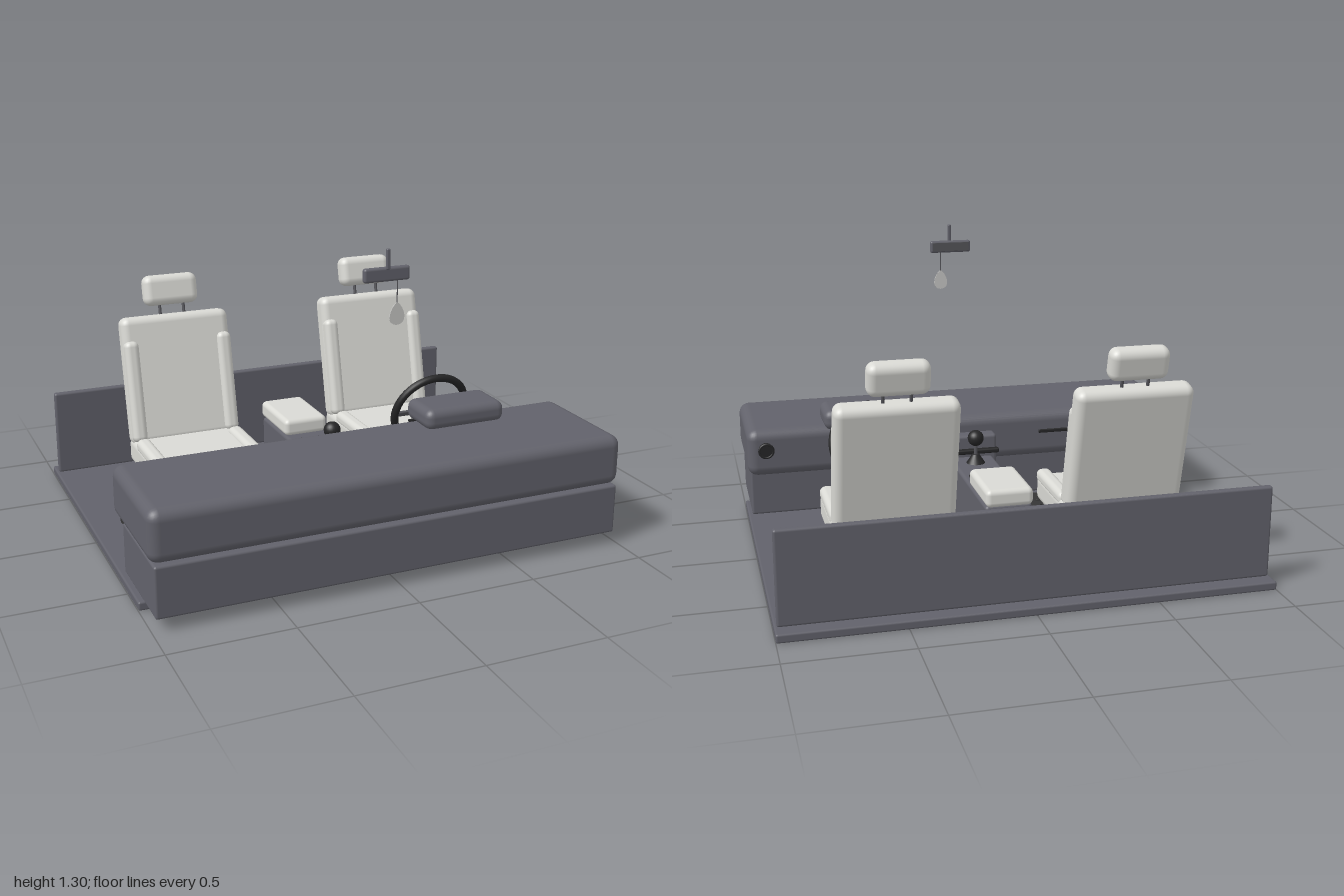
import * as THREE from 'three';
import { RoundedBoxGeometry } from 'three/addons/geometries/RoundedBoxGeometry.js';

const material = (name, color, side = THREE.FrontSide) => {
  const m = new THREE.MeshStandardMaterial({ color, side });
  m.name = name;
  return m;
};

export function createModel() {
  const trim = material('slate trim', 0x62626b);
  const cream = material('pale upholstery', 0xdadad5);
  const black = material('black rubber', 0x262627);
  const matGrey = material('charcoal mat', 0x363636);
  const metal = material('grey metal', 0x55555a);
  const pale = material('pale ornament', 0xc8c8c6, THREE.DoubleSide);

  const root = new THREE.Group();
  root.name = 'carInterior';

  const add = (parent, name, geometry, mat, x = 0, y = 0, z = 0) => {
    const mesh = new THREE.Mesh(geometry, mat);
    mesh.name = name;
    mesh.position.set(x, y, z);
    parent.add(mesh);
    return mesh;
  };
  // Rounded box given by size, centre and edge radius
  const block = (parent, name, mat, [w, h, d], [x, y, z], r = 0.01) =>
    add(parent, name, new RoundedBoxGeometry(w, h, d, 3, r), mat, x, y, z);
  const cylinder = (parent, name, mat, rTop, rBottom, h, [x, y, z], sides = 24) =>
    add(parent, name, new THREE.CylinderGeometry(rTop, rBottom, h, sides), mat, x, y, z);
  const group = (name, x = 0, y = 0, z = 0) => {
    const g = new THREE.Group();
    g.name = name;
    g.position.set(x, y, z);
    root.add(g);
    return g;
  };

  // Floor and rear wall
  block(root, 'floor', trim, [2, 0.036, 1.495], [0, 0.018, -0.0925], 0.008);
  block(root, 'rearWall', trim, [1.98, 0.385, 0.032], [0, 0.228, -0.763], 0.01);

  // Dashboard
  block(root, 'dashboardTop', trim, [2, 0.212, 0.53], [0, 0.366, 0.575], 0.045);
  block(root, 'dashboardBase', trim, [1.97, 0.21, 0.43], [0, 0.155, 0.625], 0.01);
  block(root, 'instrumentHood', trim, [0.365, 0.09, 0.21], [0.478, 0.508, 0.37], 0.035);
  block(root, 'instrumentPanel', black, [0.28, 0.05, 0.008], [0.478, 0.5, 0.265], 0.003);
  block(root, 'gloveBoxHandle', black, [0.27, 0.016, 0.012], [-0.47, 0.38, 0.309], 0.004);
  for (const side of [-1, 1]) {
    const vent = group('sideVent', side * 0.92, 0.388, 0.297);
    vent.rotation.x = Math.PI / 2;
    cylinder(vent, 'ventBody', black, 0.03, 0.03, 0.04, [0, 0, 0]);
    const ring = add(vent, 'ventRing', new THREE.TorusGeometry(0.03, 0.006, 8, 24), black, 0, -0.016, 0);
    ring.rotation.x = Math.PI / 2;
  }

  // Centre stack and console
  block(root, 'centreStack', trim, [0.24, 0.24, 0.1], [0, 0.28, 0.3], 0.015);
  block(root, 'stackBar', black, [0.25, 0.022, 0.03], [0, 0.33, 0.236], 0.008);
  block(root, 'console', trim, [0.2, 0.26, 0.74], [0, 0.17, -0.04], 0.015);
  block(root, 'consoleNose', trim, [0.2, 0.09, 0.12], [0, 0.09, 0.37], 0.01);
  block(root, 'armrest', cream, [0.2, 0.075, 0.31], [0, 0.335, -0.275], 0.022);
  for (const x of [-0.045, 0.042]) {
    cylinder(root, 'cupHolder', matGrey, 0.034, 0.034, 0.008, [x, 0.303, -0.03]);
  }
  const shifter = group('gearShifter', 0, 0.3, 0.165);
  cylinder(shifter, 'boot', black, 0.016, 0.042, 0.04, [0, 0.02, 0]);
  cylinder(shifter, 'lever', metal, 0.009, 0.009, 0.08, [0, 0.07, 0], 12);
  add(shifter, 'knob', new THREE.SphereGeometry(0.036, 24, 16), black, 0, 0.115, 0);

  // Steering wheel and column
  const steering = group('steeringWheel', 0.478, 0.437, 0.14);
  steering.rotation.x = 0.35;
  add(steering, 'rim', new THREE.TorusGeometry(0.168, 0.017, 12, 48), black);
  const hub = cylinder(steering, 'hub', metal, 0.05, 0.055, 0.035, [0, 0, 0.014]);
  hub.rotation.x = Math.PI / 2;
  for (const angle of [0, Math.PI, -Math.PI * 0.38, -Math.PI * 0.62]) {
    const spoke = block(steering, 'spoke', metal, [0.12, 0.024, 0.014],
      [Math.cos(angle) * 0.105, Math.sin(angle) * 0.105, 0.006], 0.005);
    spoke.rotation.z = angle;
  }
  const column = cylinder(steering, 'column', trim, 0.045, 0.036, 0.2, [0, 0, 0.125]);
  column.rotation.x = Math.PI / 2;
  for (const side of [-1, 1]) {
    const stalk = cylinder(steering, 'stalk', black, 0.007, 0.009, 0.11, [side * 0.08, 0.01, 0.07], 12);
    stalk.rotation.z = -side * Math.PI / 2;
  }

  // Pedals
  for (const [x, w] of [[0.4, 0.06], [0.48, 0.06], [0.57, 0.045]]) {
    const pedal = group('pedal', x, 0.2, 0.33);
    pedal.rotation.x = 0.42;
    block(pedal, 'pedalPad', black, [w, 0.1, 0.02], [0, -0.01, 0], 0.006);
    block(pedal, 'pedalArm', metal, [0.016, 0.13, 0.014], [0, 0.045, 0.016], 0.004);
  }

  // Ribbed floor mats
  for (const x of [-0.48, 0.48]) {
    block(root, 'floorMat', matGrey, [0.38, 0.012, 0.42], [x, 0.041, 0.19], 0.004);
    for (let i = 0; i < 5; i++) {
      block(root, 'matRib', matGrey, [0.32, 0.006, 0.014], [x, 0.049, 0.05 + i * 0.06], 0.002);
    }
  }

  // Seats
  for (const x of [-0.48, 0.48]) {
    const seat = group('seat', x);
    block(seat, 'seatBase', trim, [0.36, 0.12, 0.375], [0, 0.105, -0.235], 0.008);
    for (const side of [-1, 1]) {
      block(seat, 'seatRail', black, [0.035, 0.018, 0.42], [side * 0.15, 0.046, -0.25], 0.005);
      block(seat, 'cushionBolster', cream, [0.065, 0.06, 0.35], [side * 0.213, 0.276, -0.165], 0.025);
    }
    block(seat, 'cushion', cream, [0.49, 0.125, 0.475], [0, 0.222, -0.227], 0.035);

    // Reclined backrest with its bolsters and headrest
    const back = new THREE.Group();
    back.name = 'backrest';
    back.position.set(0, 0.25, -0.412);
    back.rotation.x = -0.225;
    seat.add(back);
    block(back, 'backCushion', cream, [0.495, 0.57, 0.1], [0, 0.285, 0], 0.035);
    for (const side of [-1, 1]) {
      block(back, 'backBolster', cream, [0.064, 0.45, 0.07], [side * 0.214, 0.24, 0.038], 0.025);
      cylinder(back, 'headrestPost', metal, 0.007, 0.007, 0.12, [side * 0.055, 0.59, 0], 12);
    }
    block(back, 'headrest', cream, [0.248, 0.136, 0.085], [0, 0.678, -0.008], 0.035);
  }

  // Waste bin
  const bin = group('wasteBin', -0.88, 0, 0.285);
  cylinder(bin, 'binBody', trim, 0.068, 0.056, 0.17, [0, 0.12, 0]);
  cylinder(bin, 'binLid', matGrey, 0.08, 0.08, 0.022, [0, 0.215, 0], 32);
  block(bin, 'lidHandle', black, [0.06, 0.01, 0.02], [0, 0.23, 0], 0.004);

  // Rear-view mirror with hanging ornament
  const mirror = group('mirror', 0, 1.203, 0.665);
  block(mirror, 'mirrorHousing', trim, [0.19, 0.055, 0.026], [0, 0, 0], 0.01);
  block(mirror, 'mirrorGlass', metal, [0.17, 0.04, 0.004], [0, 0, -0.013], 0.001);
  block(mirror, 'mirrorStem', trim, [0.016, 0.08, 0.014], [0, 0.06, 0.015], 0.005);
  cylinder(mirror, 'cord', metal, 0.002, 0.002, 0.11, [0.045, -0.065, 0.005], 6);
  const drop = new THREE.Shape();
  drop.moveTo(0, 0.046);
  drop.bezierCurveTo(0.014, 0.04, 0.031, 0.012, 0.031, -0.012);
  drop.bezierCurveTo(0.031, -0.052, -0.031, -0.052, -0.031, -0.012);
  drop.bezierCurveTo(-0.031, 0.012, -0.014, 0.04, 0, 0.046);
  add(mirror, 'ornament', new THREE.ExtrudeGeometry(drop, { depth: 0.004, bevelEnabled: false }),
    pale, 0.045, -0.158, 0.003);

  return root;
}
